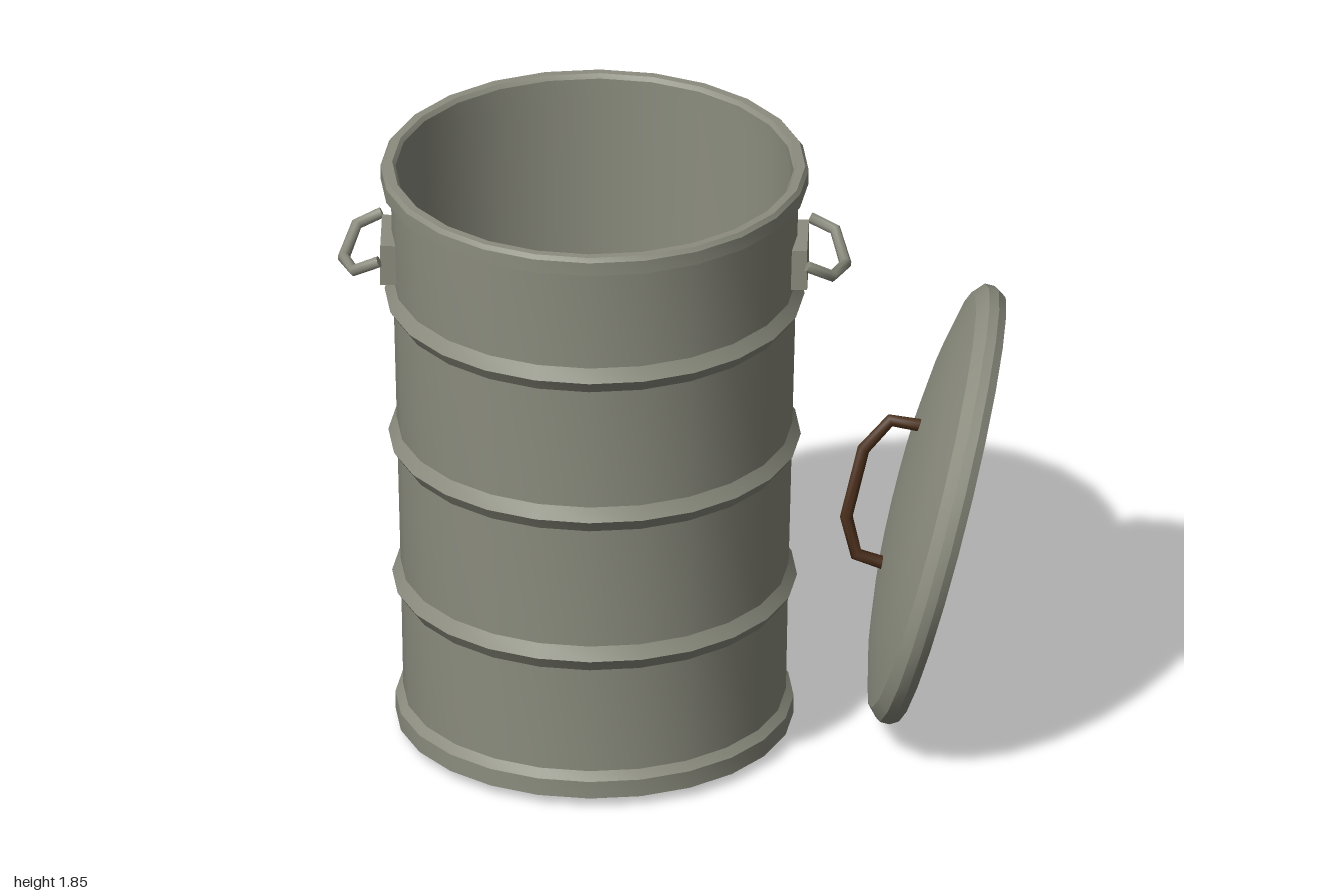
import * as THREE from 'three';
import { toCreasedNormals } from 'three/addons/utils/BufferGeometryUtils.js';

// Polyline with averaged tangents, so tubes get mitred corners
class Polyline extends THREE.Curve {
  constructor(points) {
    super();
    this.points = points.map((p) => new THREE.Vector3(...p));
  }
  getPoint(t, target = new THREE.Vector3()) {
    const n = this.points.length - 1;
    const i = Math.min(Math.floor(t * n + 1e-6), n - 1);
    return target.lerpVectors(this.points[i], this.points[i + 1], t * n - i);
  }
  getPointAt(t, target) { return this.getPoint(t, target); }
  getTangentAt(t, target = new THREE.Vector3()) {
    const n = this.points.length - 1;
    const i = Math.round(t * n);
    const a = this.points[Math.max(i - 1, 0)], b = this.points[i], c = this.points[Math.min(i + 1, n)];
    const before = b.clone().sub(a).normalize(), after = c.clone().sub(b).normalize();
    return target.copy(before).add(after).normalize();
  }
}

function lathe(name, profile, material) {
  const g = new THREE.LatheGeometry(profile.map(([r, y]) => new THREE.Vector2(r, y)), 24);
  const mesh = new THREE.Mesh(toCreasedNormals(g, 0.5), material);
  mesh.name = name;
  return mesh;
}

// Bent bar with closed ends
function bar(name, points, radius, material) {
  const group = new THREE.Group();
  group.name = name;
  const path = new Polyline(points);
  group.add(new THREE.Mesh(new THREE.TubeGeometry(path, points.length - 1, radius, 8), material));
  for (const [t, sign] of [[0, -1], [1, 1]]) {
    const cap = new THREE.Mesh(new THREE.CircleGeometry(radius, 8), material);
    cap.position.copy(path.getPointAt(t));
    cap.quaternion.setFromUnitVectors(new THREE.Vector3(0, 0, 1), path.getTangentAt(t).multiplyScalar(sign));
    group.add(cap);
  }
  group.children.forEach((m, i) => { m.name = i ? 'barEnd' : 'barBody'; });
  return group;
}

export function createModel() {
  const model = new THREE.Group();
  model.name = 'trashCan';
  const metal = new THREE.MeshStandardMaterial({ color: 0x8c8d7f });
  metal.name = 'greyMetal';
  const brown = new THREE.MeshStandardMaterial({ color: 0x4a2e1a });
  brown.name = 'brownHandle';

  // Can body: base hoop, tapered wall with three ribs, rolled rim, hollow inside
  const can = new THREE.Group();
  can.name = 'can';
  can.position.set(-0.23, 0, 0.07);
  const wall = (y) => 0.57 + 0.024 * (y - 0.11);
  const profile = [[0, 0], [0.535, 0], [0.595, 0.03], [0.595, 0.085], [0.572, 0.11]];
  for (const y of [0.49, 0.96, 1.43]) {
    profile.push([wall(y - 0.04), y - 0.04], [wall(y) + 0.026, y], [wall(y + 0.04), y + 0.04]);
  }
  profile.push([0.61, 1.785], [0.64, 1.797], [0.64, 1.84], [0.63, 1.853], [0.605, 1.853],
    [0.595, 1.84], [0.595, 1.78], [0.555, 0.1], [0, 0.1]);
  can.add(lathe('canBody', profile, metal));

  // Side handles: mounting plate and bent bar
  for (const side of [1, -1]) {
    const plate = new THREE.Mesh(new THREE.BoxGeometry(0.06, 0.13, 0.21), metal);
    plate.name = 'handlePlate';
    plate.position.set(side * 0.608, 1.557, 0);
    can.add(plate);
    can.add(bar('sideHandle', [
      [side * 0.64, 1.6, -0.165], [side * 0.715, 1.565, -0.155], [side * 0.75, 1.53, 0],
      [side * 0.715, 1.565, 0.155], [side * 0.64, 1.6, 0.165],
    ], 0.018, metal));
  }
  model.add(can);

  // Domed lid leaning on its edge, hollow side facing away from the can
  const lid = lathe('lid', [
    [0, 0.125], [0.2, 0.12], [0.4, 0.102], [0.56, 0.075], [0.635, 0.055], [0.64, 0], [0.66, 0],
    [0.675, 0.025], [0.675, 0.055], [0.64, 0.088], [0.5, 0.122], [0.35, 0.144], [0.18, 0.157], [0, 0.162],
  ], metal);
  lid.position.set(0.83, 0.665, -0.04);
  lid.rotation.z = 1.315;
  model.add(lid);

  // Lid handle
  model.add(bar('lidHandle', [
    [0.74, 0.912, -0.09], [0.65, 0.93, -0.085], [0.57, 0.845, -0.06],
    [0.52, 0.64, -0.02], [0.55, 0.525, 0], [0.635, 0.495, 0],
  ], 0.02, brown));
  return model;
}
